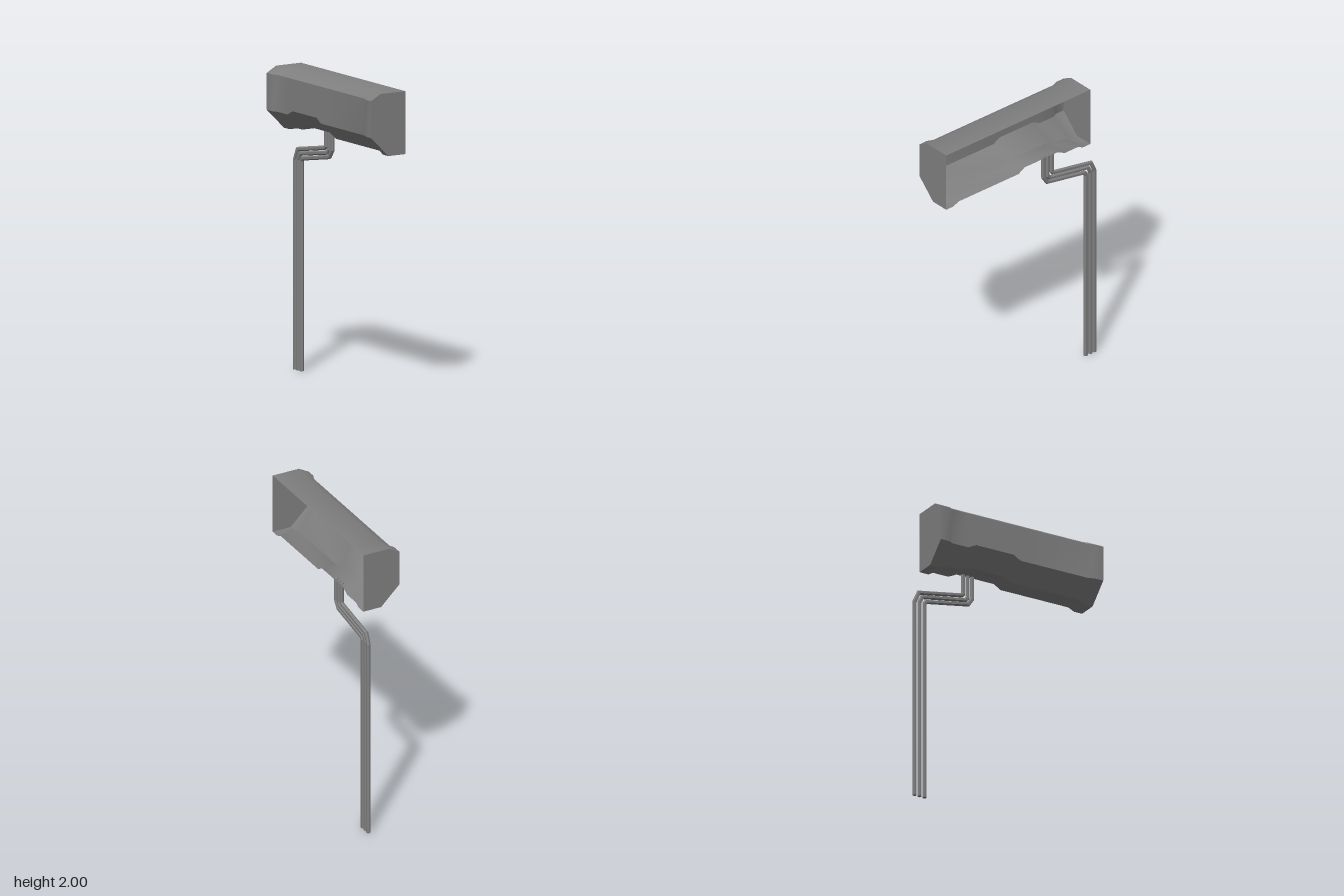
import * as THREE from 'three';
import { toCreasedNormals } from 'three/addons/utils/BufferGeometryUtils.js';

// Skin a list of equal-length rings of points; closed rings wrap round
function skin(rings, closed) {
  const pos = [];
  const n = rings[0].length;
  for (let i = 0; i < rings.length - 1; i++) {
    for (let j = 0; j < (closed ? n : n - 1); j++) {
      const k = (j + 1) % n;
      const a = rings[i][j], b = rings[i][k], c = rings[i + 1][k], d = rings[i + 1][j];
      pos.push(...a, ...b, ...c, ...a, ...c, ...d);
    }
  }
  return fromPositions(pos);
}

function fan(ring, flip) {
  const pos = [];
  for (let j = 1; j < ring.length - 1; j++) {
    pos.push(...ring[0], ...(flip ? ring[j + 1] : ring[j]), ...(flip ? ring[j] : ring[j + 1]));
  }
  return fromPositions(pos);
}

function fromPositions(pos) {
  const g = new THREE.BufferGeometry();
  g.setAttribute('position', new THREE.Float32BufferAttribute(pos, 3));
  g.computeVertexNormals();
  return g;
}

// Hexagonal wire along a (z, y) path, mitred at each bend
function wireGeometry(path, x, r) {
  const pts = path.map(([z, y]) => new THREE.Vector2(z, y));
  const rings = pts.map((p, i) => {
    const before = p.clone().sub(pts[Math.max(i - 1, 0)]).normalize();
    const after = pts[Math.min(i + 1, pts.length - 1)].clone().sub(p).normalize();
    const t = before.clone().add(after).normalize();
    const side = i === 0 ? after : before;
    const m = r / t.dot(side);
    return Array.from({ length: 6 }, (_, k) => {
      const a = (k * Math.PI) / 3;
      const c = Math.cos(a) * m;
      return [x + Math.sin(a) * r, p.y + t.x * c, p.x - t.y * c];
    });
  });
  return rings;
}

export function createModel() {
  const model = new THREE.Group();
  const grey = new THREE.MeshStandardMaterial({ color: 0x808080, side: THREE.DoubleSide });
  grey.name = 'grey metal';
  const add = (geometry, name, parent = model) => {
    const mesh = new THREE.Mesh(geometry, grey);
    mesh.name = name;
    parent.add(mesh);
  };

  // Housing cross-sections (x, y), open towards +x
  const flange = [[0.13, 2], [-0.06, 2], [-0.132, 1.96], [-0.132, 1.72], [0, 1.59], [0.13, 1.59]];
  const middle = [[0.13, 2], [-0.05, 2], [-0.115, 1.96], [-0.115, 1.72], [0, 1.61], [0.13, 1.61]];
  const notch = middle.map(([x, y], i) => [x, i > 2 ? y + 0.03 : y]);
  const stations = [
    [0.64, flange], [0.58, flange], [0.535, middle], [0.03, middle], [-0.02, notch],
    [-0.3, notch], [-0.36, middle], [-0.475, middle], [-0.51, flange], [-0.575, flange],
  ];
  const rings = stations.map(([z, profile]) => profile.map(([x, y]) => [x, y, z]));
  add(toCreasedNormals(skin(rings, false), 0.6), 'housingShell');
  add(fan(rings[0], false), 'frontEndPlate');
  add(fan(rings[rings.length - 1], true), 'backEndPlate');

  // Three bent wires side by side
  const wires = new THREE.Group();
  wires.name = 'wires';
  model.add(wires);
  const paths = [
    [[-0.19, 1.645], [-0.19, 1.49], [-0.222, 1.442], [-0.535, 1.385], [-0.547, 1.37], [-0.547, 0]],
    [[-0.225, 1.645], [-0.225, 1.49], [-0.242, 1.468], [-0.565, 1.412], [-0.585, 1.37], [-0.585, 0]],
    [[-0.26, 1.645], [-0.26, 1.507], [-0.27, 1.495], [-0.59, 1.437], [-0.62, 1.37], [-0.62, 0]],
  ];
  paths.forEach((path, i) => {
    const wireRings = wireGeometry(path, 0.117, 0.0145);
    const wire = new THREE.Group();
    wire.name = 'wire' + (i + 1);
    wires.add(wire);
    add(skin(wireRings, true), 'wireBody', wire);
    add(fan(wireRings[0], false), 'wireTop', wire);
    add(fan(wireRings[5], true), 'wireFoot', wire);
  });
  return model;
}
